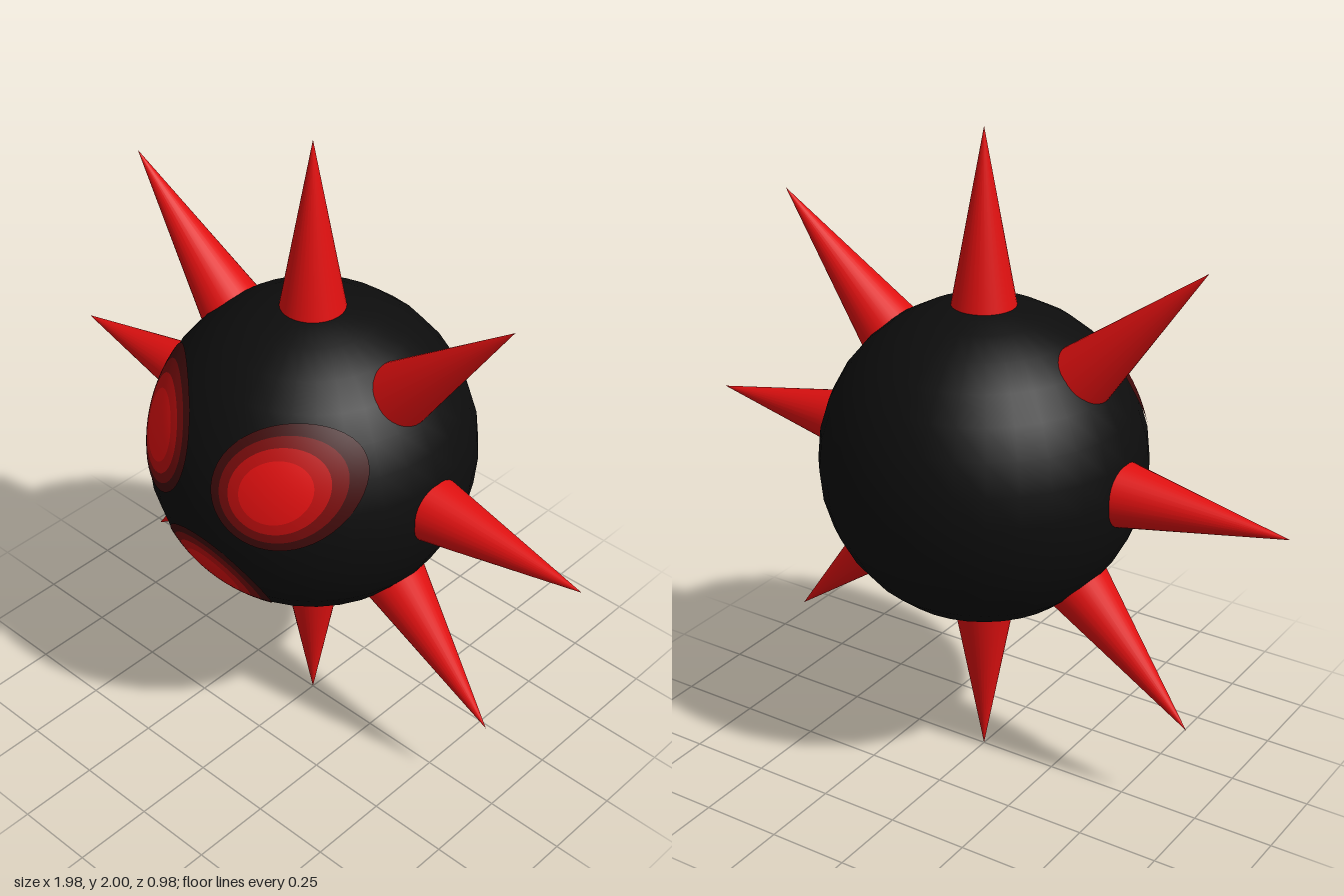
import * as THREE from 'three';

const R = 0.49; // ball radius

const mat = (name, color) => {
  const m = new THREE.MeshStandardMaterial({ color });
  m.name = name;
  return m;
};

// Flat ring at (cx, cy) wrapped forward onto the ball surface
function wrappedRing(inner, outer, cx, cy) {
  const g = new THREE.RingGeometry(inner, outer, 48, 4);
  g.translate(cx, cy, 0);
  const p = g.attributes.position, n = g.attributes.normal;
  const r = R + 0.002, v = new THREE.Vector3();
  for (let i = 0; i < p.count; i++) {
    const x = p.getX(i), y = p.getY(i);
    v.set(x, y, Math.sqrt(Math.max(0, r * r - x * x - y * y)));
    p.setXYZ(i, v.x, v.y, v.z);
    v.normalize();
    n.setXYZ(i, v.x, v.y, v.z);
  }
  return g;
}

export function createModel() {
  const model = new THREE.Group();
  model.name = 'spikedBall';
  const black = mat('black', 0x0d0d0d);
  const red = mat('red', 0xe01010);
  const bands = [
    red,
    mat('mediumRed', 0xbc0e0e),
    mat('darkRed', 0x780c0c),
    mat('deepRed', 0x400b0b),
  ];

  // Ball
  const ball = new THREE.Mesh(new THREE.SphereGeometry(R, 32, 16), black);
  ball.name = 'ball';
  ball.position.y = 1;
  model.add(ball);

  // Eight spikes in the upright plane, bases sunk into the ball
  const base = 0.44;
  for (let i = 0; i < 8; i++) {
    const a = (i * Math.PI) / 4;
    const tip = i === 0 || i === 4 ? 0.99 : 1;
    const g = new THREE.ConeGeometry(0.103, tip - base, 32);
    g.translate(0, (tip + base) / 2, 0);
    const spike = new THREE.Mesh(g, red);
    spike.name = 'spike' + (i + 1);
    spike.position.y = 1;
    spike.rotation.z = a - Math.PI / 2;
    model.add(spike);
  }

  // Three glowing spots on the front, each made of concentric bands
  const radii = [0, 0.09, 0.122, 0.15, 0.177];
  const spots = [['leftEye', 0.23, 0.155], ['rightEye', -0.23, 0.155], ['mouth', 0, -0.235]];
  for (const [name, x, y] of spots) {
    const spot = new THREE.Group();
    spot.name = name;
    spot.position.y = 1;
    bands.forEach((m, i) => {
      const band = new THREE.Mesh(wrappedRing(radii[i], radii[i + 1], x, y), m);
      band.name = name + 'Band' + (i + 1);
      spot.add(band);
    });
    model.add(spot);
  }
  return model;
}
